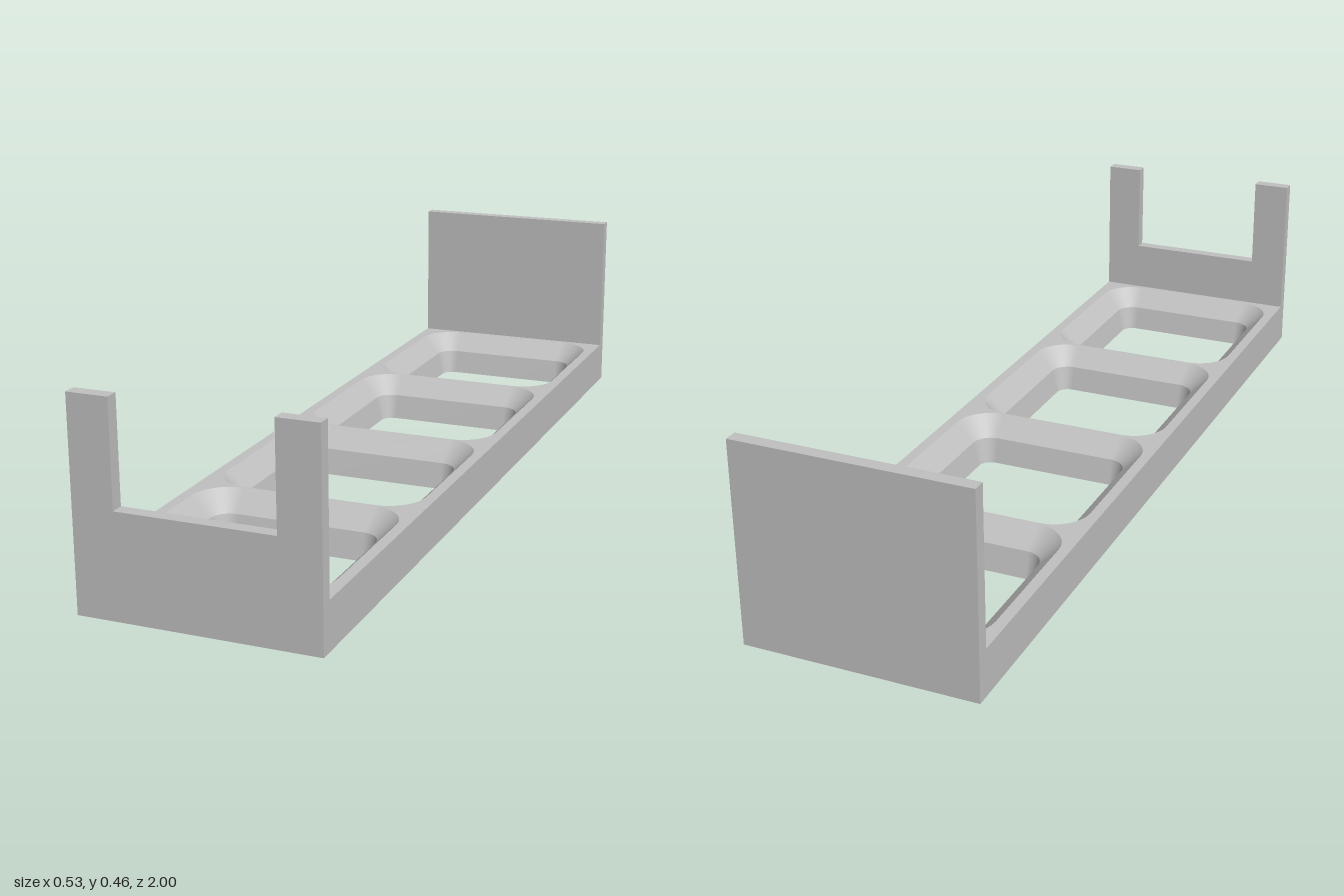
import * as THREE from 'three';

const W = 0.263;        // half width
const BASE = 0.105;     // base height
const HEIGHT = 0.457;   // end wall height
const WALL = 0.03;      // end wall thickness
const INNER = 1 - WALL; // half length between the walls
const CENTRES = [-0.721, -0.24, 0.24, 0.721];

// Well profile from rim to underside: half size, corner radius, height
const PROFILE = [
  [0.238, 0.085, BASE],
  [0.193, 0.045, 0.06],
  [0.179, 0.03, 0],
];

// Points of a rounded square centred on the origin
function roundedSquare(half, radius, steps = 8) {
  const points = [];
  for (let corner = 0; corner < 4; corner++) {
    const mid = Math.PI / 4 + corner * Math.PI / 2;
    const cx = Math.sign(Math.cos(mid)) * (half - radius);
    const cy = Math.sign(Math.sin(mid)) * (half - radius);
    for (let i = 0; i <= steps; i++) {
      const a = (corner + i / steps) * Math.PI / 2;
      points.push(new THREE.Vector2(cx + radius * Math.cos(a), cy + radius * Math.sin(a)));
    }
  }
  return points;
}

// Inward-facing band between two rounded squares
function bandGeometry(upper, lower) {
  const rings = [upper, lower].map(([half, radius]) => roundedSquare(half, radius));
  const n = rings[0].length;
  const positions = [];
  const index = [];
  rings[0].forEach((p) => positions.push(p.x, upper[2], p.y));
  rings[1].forEach((p) => positions.push(p.x, lower[2], p.y));
  for (let i = 0; i < n; i++) {
    const j = (i + 1) % n;
    index.push(i, n + i, j, j, n + i, n + j);
  }
  const geometry = new THREE.BufferGeometry();
  geometry.setAttribute('position', new THREE.Float32BufferAttribute(positions, 3));
  geometry.setIndex(index);
  geometry.computeVertexNormals();
  return geometry;
}

// Flat sheet with four rounded openings
function sheetGeometry([half, radius]) {
  const shape = new THREE.Shape([
    new THREE.Vector2(-W, -INNER), new THREE.Vector2(W, -INNER),
    new THREE.Vector2(W, INNER), new THREE.Vector2(-W, INNER),
  ]);
  for (const z of CENTRES) {
    const ring = roundedSquare(half, radius).map((p) => new THREE.Vector2(p.x, p.y + z));
    shape.holes.push(new THREE.Path(ring.reverse()));
  }
  return new THREE.ShapeGeometry(shape);
}

// Upright end wall from an outline
function wallGeometry(outline) {
  const shape = new THREE.Shape(outline.map(([x, y]) => new THREE.Vector2(x, y)));
  return new THREE.ExtrudeGeometry(shape, { depth: WALL, bevelEnabled: false });
}

export function createModel() {
  const model = new THREE.Group();
  model.name = 'fourWellTray';
  const grey = new THREE.MeshStandardMaterial({ color: 0xc0c0c0 });
  grey.name = 'plain grey';

  const add = (name, geometry, parent = model) => {
    const mesh = new THREE.Mesh(geometry, grey);
    mesh.name = name;
    parent.add(mesh);
    return mesh;
  };

  // Base shell
  const base = new THREE.Group();
  base.name = 'base';
  model.add(base);
  add('baseTop', sheetGeometry(PROFILE[0]).rotateX(-Math.PI / 2), base).position.y = BASE;
  add('baseUnderside', sheetGeometry(PROFILE[2]).rotateX(Math.PI / 2), base);
  for (const side of [1, -1]) {
    const plane = new THREE.PlaneGeometry(2 * INNER, BASE).rotateY(side * Math.PI / 2);
    add(side > 0 ? 'leftSide' : 'rightSide', plane, base).position.set(side * W, BASE / 2, 0);
  }

  // Wells: sloping rim above a steeper throat
  CENTRES.forEach((z, i) => {
    const well = new THREE.Group();
    well.name = `well${i + 1}`;
    well.position.z = z;
    add('slopingRim', bandGeometry(PROFILE[0], PROFILE[1]), well);
    add('throat', bandGeometry(PROFILE[1], PROFILE[2]), well);
    model.add(well);
  });

  // Solid back wall, and front wall with a square notch
  add('backWall', wallGeometry([[-W, 0], [W, 0], [W, HEIGHT], [-W, HEIGHT]])).position.z = -1;
  const notch = 0.172, sill = 0.229;
  add('frontWall', wallGeometry([
    [-W, 0], [W, 0], [W, HEIGHT], [notch, HEIGHT],
    [notch, sill], [-notch, sill], [-notch, HEIGHT], [-W, HEIGHT],
  ])).position.z = INNER;

  return model;
}
